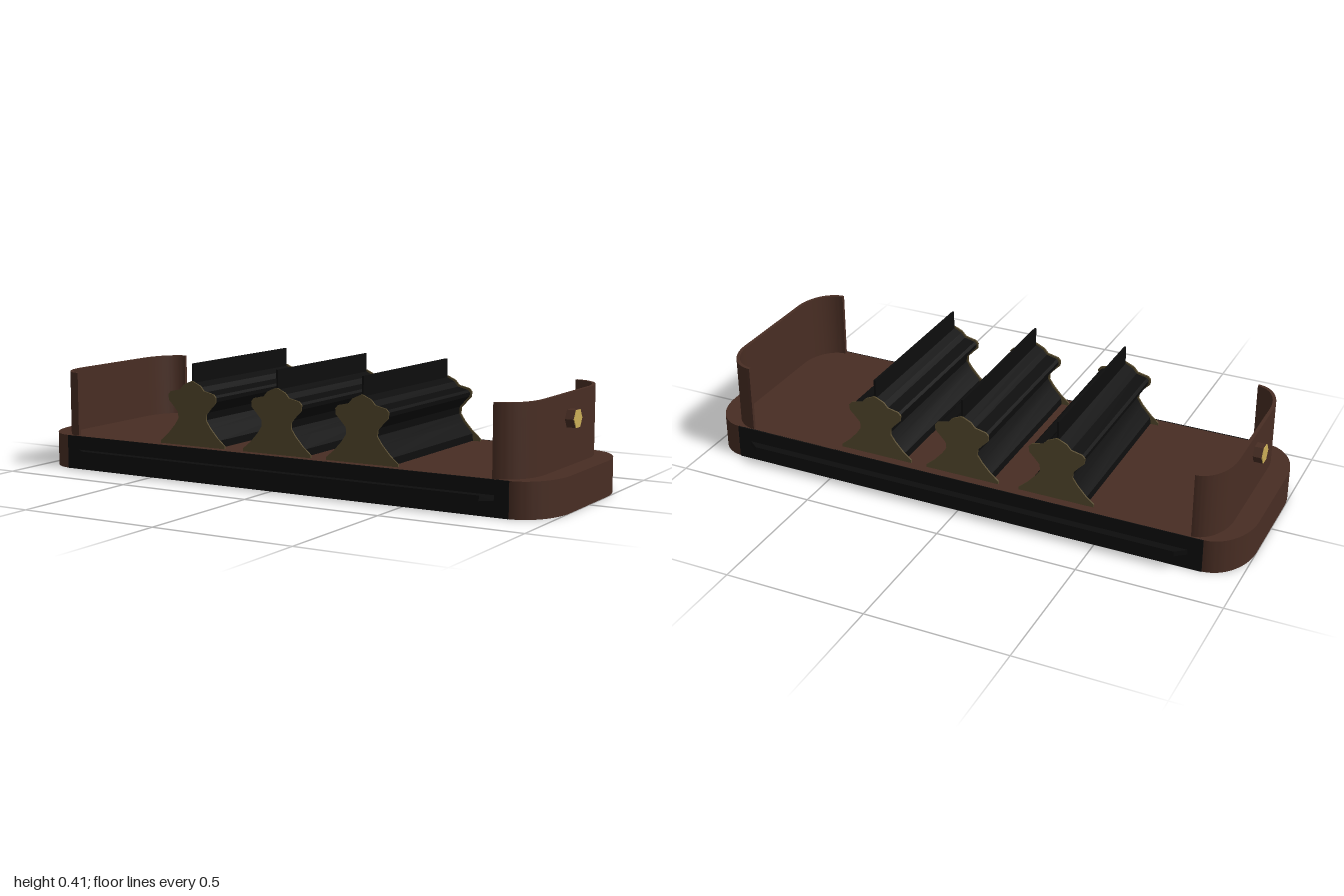
import * as THREE from 'three';
import { toCreasedNormals } from 'three/addons/utils/BufferGeometryUtils.js';

const material = (name, color) => {
  const m = new THREE.MeshStandardMaterial({ color });
  m.name = name;
  return m;
};

export function createModel() {
  const model = new THREE.Group();
  const brown = material('dark brown wood', 0x482d23);
  const black = material('black', 0x0d0d0d);
  const olive = material('olive brass', 0x564a2e);
  const gold = material('gold', 0xcbae57);

  const add = (parent, name, geometry, mat, x = 0, y = 0, z = 0) => {
    const mesh = new THREE.Mesh(geometry, mat);
    mesh.name = name;
    mesh.position.set(x, y, z);
    parent.add(mesh);
    return mesh;
  };
  const extrude = (shape, depth) => new THREE.ExtrudeGeometry(shape, { depth, bevelEnabled: false, curveSegments: 12 });
  // Extrude a plan outline upwards
  const slab = (shape, height) => toCreasedNormals(extrude(shape, height).rotateX(-Math.PI / 2), 0.6);
  const polygon = (points) => new THREE.Shape(points.map(([x, y]) => new THREE.Vector2(x, y)));

  // Rounded base board
  const corner = [[1, 1, 0], [-1, 1, 0.5], [-1, -1, 1], [1, -1, 1.5]];
  const outline = new THREE.Shape();
  corner.forEach(([sx, sy, turn]) => {
    outline.absellipse(sx * 0.87, sy * 0.158, 0.13, 0.18, turn * Math.PI, (turn + 0.5) * Math.PI, false);
  });
  outline.closePath();
  add(model, 'baseBoard', slab(outline, 0.12), brown);

  // Black side faces with a projecting rail
  for (const side of [1, -1]) {
    add(model, 'sidePanel', new THREE.BoxGeometry(1.745, 0.12, 0.006), black, 0, 0.06, side * 0.338);
    const rail = polygon([[-0.825, 0.339], [0.825, 0.339], [0.785, 0.37], [-0.785, 0.37]].map(([x, z]) => [x, -side * z]));
    add(model, 'sideRail', slab(rail, 0.018), black, 0, 0.053, 0);
  }

  // Curved end walls, each with a hexagonal knob
  const wallShape = (inner) => {
    const s = new THREE.Shape();
    s.moveTo(inner, 0.333);
    s.absellipse(inner, 0.183, 0.925 - inner, 0.15, Math.PI / 2, 0, true);
    s.absellipse(inner, -0.183, 0.925 - inner, 0.15, 0, -Math.PI / 2, true);
    s.lineTo(inner, -0.321);
    s.absellipse(inner, -0.183, 0.913 - inner, 0.138, -Math.PI / 2, 0, false);
    s.absellipse(inner, 0.183, 0.913 - inner, 0.138, 0, Math.PI / 2, false);
    s.closePath();
    return s;
  };
  for (const [side, inner, height] of [[1, 0.812, 0.24], [-1, 0.828, 0.228]]) {
    const end = new THREE.Group();
    end.name = side > 0 ? 'leftEnd' : 'rightEnd';
    if (side < 0) end.rotation.y = Math.PI;
    add(end, 'endWall', slab(wallShape(inner), height), brown, 0, 0.12, 0);
    const hex = (length) => new THREE.CylinderGeometry(0.033, 0.033, length, 6).toNonIndexed().rotateZ(-Math.PI / 2).rotateX(Math.PI / 2);
    const upright = (g) => toCreasedNormals(g.rotateX(Math.PI / 2), 0.3);
    add(end, 'knobStem', upright(hex(0.034)), brown, 0.938, 0.278, -side * -0.003);
    add(end, 'knobFace', upright(hex(0.003)), gold, 0.9565, 0.278, -side * -0.003);
    model.add(end);
  }

  // Ridges: black bodies between profiled end plates, with a fin on top
  const plateHalf = [[0.135, 0.12], [0.135, 0.13], [0.105, 0.155], [0.075, 0.188], [0.058, 0.213], [0.06, 0.235],
    [0.08, 0.257], [0.098, 0.275], [0.1, 0.295], [0.09, 0.306], [0.05, 0.315], [0.035, 0.332], [0.004, 0.346]];
  const bodyHalf = [[0.107, 0.12], [0.105, 0.145], [0.07, 0.183], [0.052, 0.213], [0.054, 0.238],
    [0.074, 0.26], [0.092, 0.278], [0.093, 0.292], [0.085, 0.3], [0.046, 0.309], [0.031, 0.326], [0.004, 0.34]];
  const mirrored = (half) => polygon([...half, ...half.slice().reverse().map(([x, y]) => [-x, y])]);
  const plateGeometry = toCreasedNormals(extrude(mirrored(plateHalf), 0.006), 0.7);
  const bodyGeometry = toCreasedNormals(extrude(mirrored(bodyHalf), 0.6), 0.3);
  for (const x of [-0.346, 0, 0.33]) {
    const ridge = new THREE.Group();
    ridge.name = 'ridge';
    ridge.position.x = x;
    add(ridge, 'ridgeBody', bodyGeometry, black, 0, 0, -0.3);
    add(ridge, 'ridgeFin', new THREE.BoxGeometry(0.007, 0.075, 0.598), black, 0, 0.3695, 0);
    add(ridge, 'frontEndPlate', plateGeometry, olive, 0, 0, 0.3);
    add(ridge, 'backEndPlate', plateGeometry, olive, 0, 0, -0.306);
    model.add(ridge);
  }
  return model;
}
